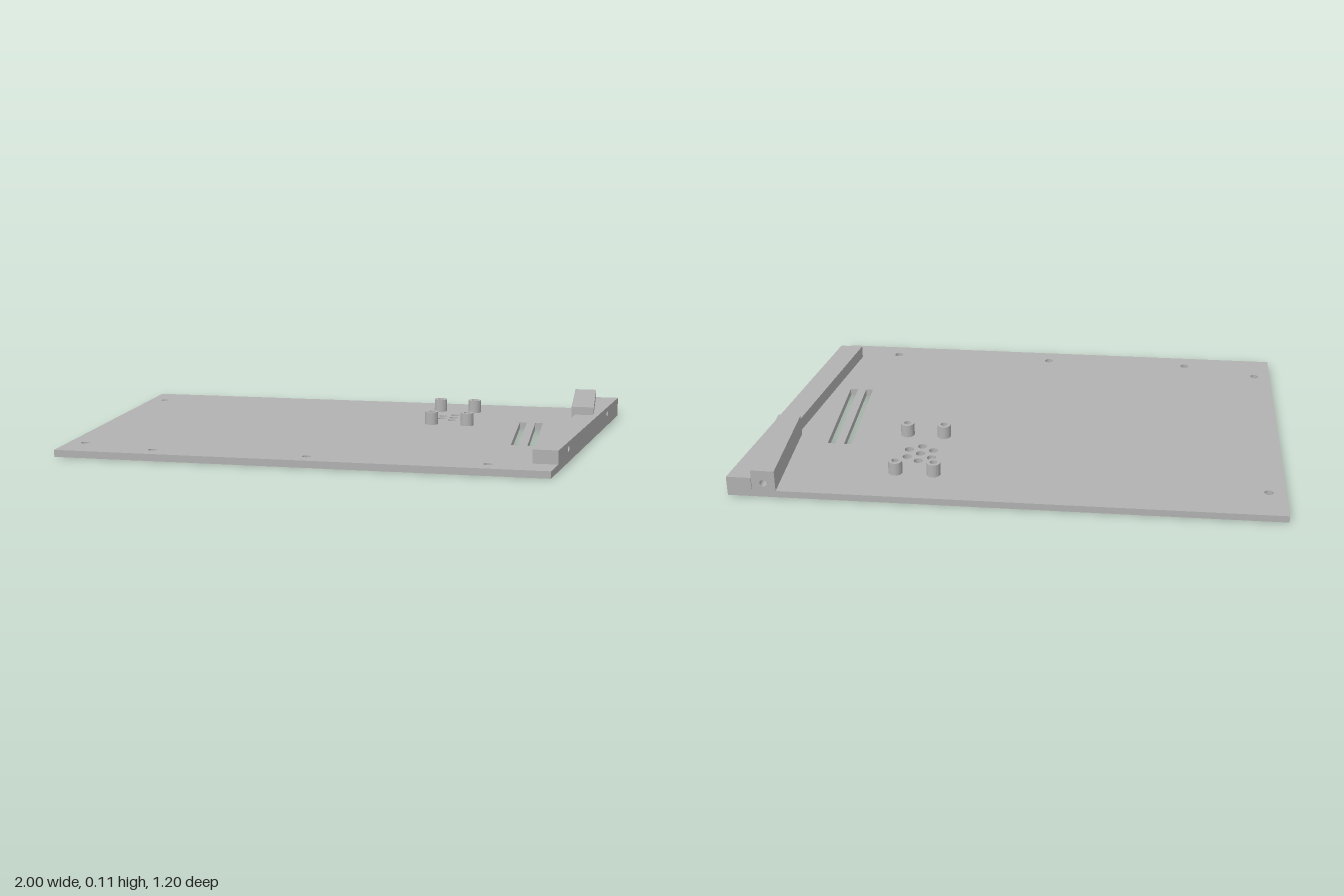
import * as THREE from 'three';

const T = 0.026;           // plate thickness
const RAIL_TOP = 0.076;
const BLOCK_TOP = 0.107;

function polygon(points) {
  return new THREE.Shape(points.map(([x, y]) => new THREE.Vector2(x, y)));
}

function circle(x, y, r) {
  return new THREE.Path().absarc(x, y, r, 0, Math.PI * 2, true);
}

function rect(x0, y0, x1, y1) {
  return polygon([[x0, y0], [x1, y0], [x1, y1], [x0, y1]]);
}

function extrude(shape, depth) {
  return new THREE.ExtrudeGeometry(shape, { depth, bevelEnabled: false, curveSegments: 12 });
}

// Extrudes a plan drawn as (x, -z) upwards from y0 to y1
function slab(shape, y0, y1) {
  return extrude(shape, y1 - y0).rotateX(-Math.PI / 2).translate(0, y0, 0);
}

export function createModel() {
  const group = new THREE.Group();
  const grey = new THREE.MeshStandardMaterial({ color: 0xb2b2b2 });
  grey.name = 'grey';
  const add = (name, geometry) => {
    const mesh = new THREE.Mesh(geometry, grey);
    mesh.name = name;
    group.add(mesh);
    return mesh;
  };

  // Base plate: two layers, so that the screw holes are wider underneath
  const screws = [[-0.937, -0.45], [-0.937, 0.46], [-0.65, 0.53], [-0.077, 0.53], [0.567, 0.53]];
  const plateLayer = (screwRadius) => {
    const s = polygon([[-1, -0.6], [0.788, -0.6], [1, 0.6], [-1, 0.6]]);
    for (const [x, z] of screws) s.holes.push(circle(x, -z, screwRadius));
    // speaker holes
    s.holes.push(circle(0.347, 0.29, 0.017));
    for (let i = 0; i < 6; i++) {
      const a = Math.PI / 6 + i * Math.PI / 3;
      s.holes.push(circle(0.347 + 0.053 * Math.cos(a), 0.29 + 0.053 * Math.sin(a), 0.017));
    }
    // long slots
    for (const [x0, x1] of [[0.619, 0.647], [0.68, 0.71]]) s.holes.push(rect(x0, -0.2, x1, 0.245));
    return s;
  };
  add('plateBottom', slab(plateLayer(0.028), 0, T / 2));
  add('plateTop', slab(plateLayer(0.016), T / 2, T));

  // Hollow standoffs around the speaker holes
  for (const x of [0.276, 0.417]) {
    for (const z of [-0.431, -0.148]) {
      const ring = new THREE.Shape().absarc(x, -z, 0.026, 0, Math.PI * 2, false);
      ring.holes.push(circle(x, -z, 0.013));
      add('standoff', slab(ring, T, RAIL_TOP));
    }
  }

  // Slanted rail along the right edge; its ends are cut square to z
  const u = new THREE.Vector3(-0.212, 0, 1.2).normalize();
  const inward = new THREE.Vector3(-u.z, 0, u.x);
  const length = 1.093 / u.z;
  const railLayer = (name, d0, d1, holes) => {
    const s = rect(0, T, length, RAIL_TOP);
    for (const z of holes) s.holes.push(circle((z + 0.6) / u.z, 0.052, 0.013));
    const g = extrude(s, d1 - d0);
    const p = g.attributes.position;
    const v = new THREE.Vector3();
    for (let i = 0; i < p.count; i++) {
      let along = p.getX(i);
      const d = p.getZ(i) + d0;
      if (along < 1e-4 || along > length - 1e-4) along -= d * u.x / u.z;
      v.set(1, p.getY(i), -0.6).addScaledVector(u, along).addScaledVector(inward, d);
      p.setXYZ(i, v.x, v.y, v.z);
    }
    g.computeVertexNormals();
    add(name, g);
  };
  railLayer('railOuter', 0, 0.055, [0.332, -0.374]);
  railLayer('railInner', 0.055, 0.088, []);

  // Raised block at the back of the rail with a blind hole in its back face
  const drilled = rect(0.823, T, 0.909, BLOCK_TOP);
  drilled.holes.push(circle(0.866, 0.056, 0.013));
  add('blockBack', extrude(drilled, 0.1).translate(0, 0, -0.6));
  add('blockFront', extrude(rect(0.823, T, 0.909, BLOCK_TOP), 0.314).translate(0, 0, -0.5));

  return group;
}
